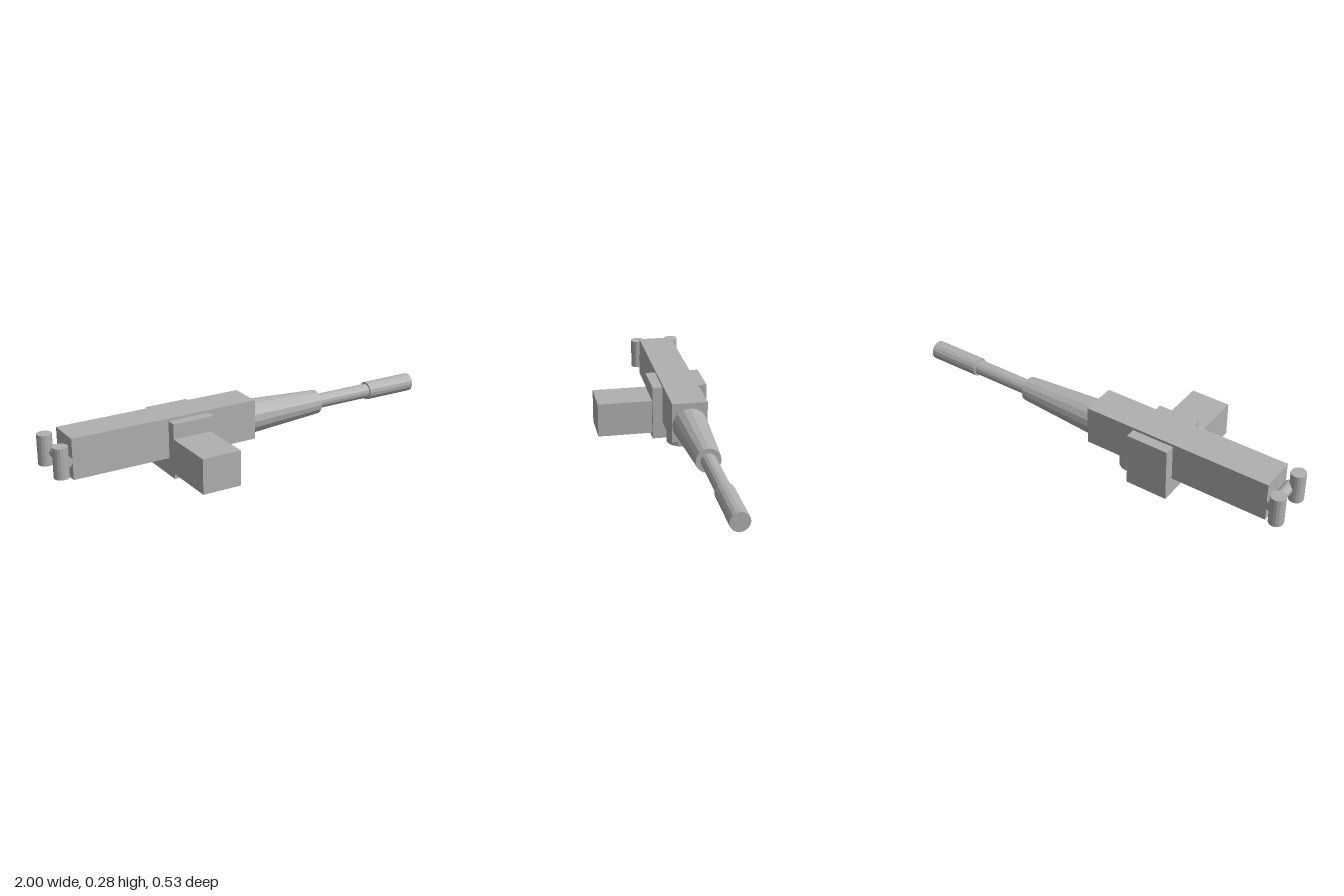
import * as THREE from 'three';

export function createModel() {
  const model = new THREE.Group();
  const steel = new THREE.MeshStandardMaterial({ color: 0xb0b0b0 });
  steel.name = 'grey steel';
  steel.flatShading = true;

  const add = (name, geometry) => {
    const mesh = new THREE.Mesh(geometry, steel);
    mesh.name = name;
    model.add(mesh);
    return mesh;
  };

  // Box given by its limits on each axis
  const box = (name, [x0, x1], [y0, y1], [z0, z1]) =>
    add(name, new THREE.BoxGeometry(x1 - x0, y1 - y0, z1 - z0))
      .position.set((x0 + x1) / 2, (y0 + y1) / 2, (z0 + z1) / 2);

  // Upright cylinder between two heights
  const post = (name, x, z, r, y0, y1) =>
    add(name, new THREE.CylinderGeometry(r, r, y1 - y0, 16))
      .position.set(x, (y0 + y1) / 2, z);

  // Barrel section along x, from radius r0 at x0 to r1 at x1
  const axisY = 0.171, axisZ = -0.133;
  const section = (name, x0, x1, r0, r1) => {
    const g = new THREE.CylinderGeometry(r1, r0, x1 - x0, 16);
    g.rotateZ(-Math.PI / 2);
    add(name, g).position.set((x0 + x1) / 2, axisY, axisZ);
  };

  // Receiver and side mounts
  box('receiver', [-0.91, 0.02], [0.087, 0.281], [-0.218, -0.048]);
  box('mountBlock', [-0.438, -0.23], [0.001, 0.268], [-0.267, 0]);
  box('ammunitionBox', [-0.438, -0.245], [0.026, 0.195], [0, 0.268]);
  post('pivot', -0.184, axisZ, 0.072, 0, 0.1);

  // Barrel
  section('barrelJacket', 0.02, 0.424, 0.084, 0.059);
  section('barrel', 0.42, 0.735, 0.036, 0.036);
  section('muzzle', 0.732, 1, 0.045, 0.045);

  // Rear crossbar with two upright grips
  const bar = new THREE.CylinderGeometry(0.026, 0.026, 0.178, 12);
  bar.rotateX(Math.PI / 2);
  add('gripCrossbar', bar).position.set(-0.934, 0.175, -0.137);
  post('leftGrip', -0.965, -0.047, 0.035, 0.113, 0.258);
  post('rightGrip', -0.965, -0.227, 0.035, 0.113, 0.258);

  return model;
}
